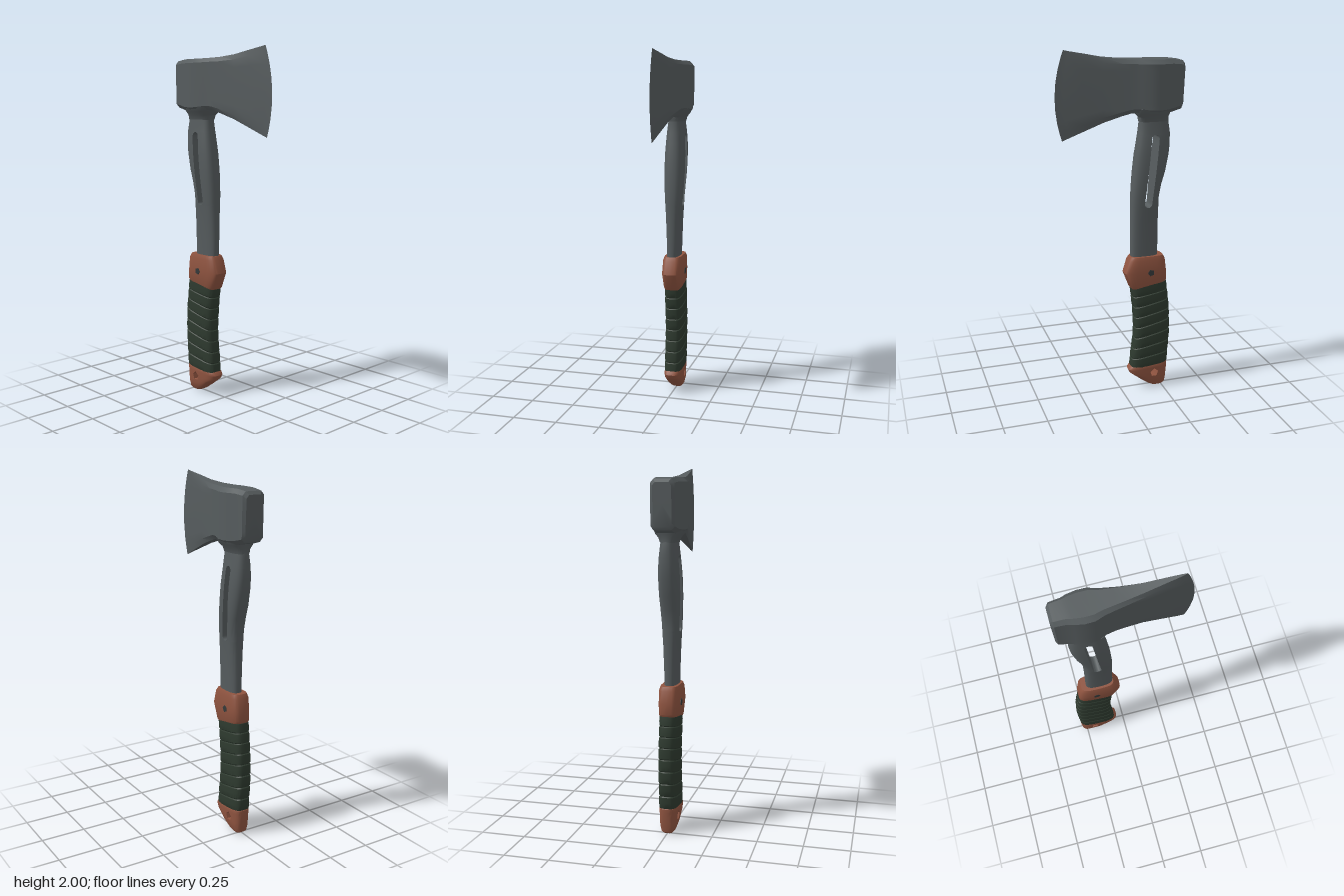
import * as THREE from 'three';
import { toCreasedNormals } from 'three/addons/utils/BufferGeometryUtils.js';

const material = (name, color) => Object.assign(new THREE.MeshStandardMaterial({ color }), { name });
const steel = material('steel', 0x565c5e);
const darkSteel = material('dark steel', 0x34393a);
const copper = material('copper brown', 0x8f5440);
const wrap = material('dark green wrap', 0x2e3a2f);

// Skins equal-length loops of [x, y, z] and closes both ends with fans.
function addSkin(loops, pos, idx) {
  const n = loops[0].length, base = pos.length / 3;
  loops.forEach(l => l.forEach(p => pos.push(...p)));
  const at = (i, j) => base + i * n + (j % n);
  for (let i = 0; i + 1 < loops.length; i++)
    for (let j = 0; j < n; j++)
      idx.push(at(i, j), at(i, j + 1), at(i + 1, j + 1), at(i, j), at(i + 1, j + 1), at(i + 1, j));
  for (const i of [0, loops.length - 1]) {
    const c = pos.length / 3;
    for (let k = 0; k < 3; k++) pos.push(loops[i].reduce((s, p) => s + p[k], 0) / n);
    for (let j = 0; j < n; j++)
      idx.push(c, i ? at(i, j) : at(i, j + 1), i ? at(i, j + 1) : at(i, j));
  }
}

function skinMesh(name, mat, loopSets, crease = 0.6) {
  const pos = [], idx = [];
  loopSets.forEach(loops => addSkin(loops, pos, idx));
  const g = new THREE.BufferGeometry();
  g.setAttribute('position', new THREE.Float32BufferAttribute(pos, 3));
  g.setIndex(idx);
  const mesh = new THREE.Mesh(toCreasedNormals(g, crease), mat);
  mesh.name = name;
  return mesh;
}

// Linear lookup in rows keyed by their first value.
function rowAt(rows, y) {
  let i = 0;
  while (i < rows.length - 2 && y > rows[i + 1][0]) i++;
  const a = rows[i], b = rows[i + 1];
  const t = THREE.MathUtils.clamp((y - a[0]) / (b[0] - a[0]), 0, 1);
  return a.map((v, k) => v + (b[k] - v) * t);
}

// z range of a convex hole [[z, y], ...] at height y.
function holeSpan(hole, y) {
  const ys = hole.map(p => p[1]), lo = Math.min(...ys), hi = Math.max(...ys);
  const yc = THREE.MathUtils.clamp(y, lo, hi), zs = [];
  hole.forEach((a, i) => {
    const b = hole[(i + 1) % hole.length];
    if (a[1] !== b[1] && yc >= Math.min(a[1], b[1]) && yc <= Math.max(a[1], b[1]))
      zs.push(a[0] + (b[0] - a[0]) * (yc - a[1]) / (b[1] - a[1]));
  });
  const z0 = Math.min(...zs), z1 = Math.max(...zs);
  return y < lo || y > hi ? [(z0 + z1) / 2, (z0 + z1) / 2] : [z0, z1];
}

// Upright loft of rounded sections; rows are [yFront, yBack, zFront, zBack, halfWidth].
// It is made of a front and a back half, which part around an optional hole.
function shaft(name, mat, rows, n, hole) {
  let ys = rows.map(r => r[0]);
  if (hole) {
    const hy = hole.map(p => p[1]);
    ys = ys.concat(hy, Math.min(...hy) - 1e-4, Math.max(...hy) + 1e-4);
  }
  ys = ys.sort((a, b) => a - b).filter((y, i) => !i || y - ys[i - 1] > 1e-6);
  const front = [], back = [], steps = 14;
  for (const y of ys) {
    const [yf, yb, zf, zb, w] = rowAt(rows, y);
    const mid = (zf + zb) / 2, half = (zf - zb) / 2;
    const angle = z => {
      const u = THREE.MathUtils.clamp((z - mid) / half, -0.95, 0.95);
      return Math.acos(Math.sign(u) * Math.abs(u) ** (n / 2));
    };
    const point = a => {
      const c = Math.cos(a), s = Math.sin(a);
      const u = Math.sign(c) * Math.abs(c) ** (2 / n);
      return [w * Math.sign(s) * Math.abs(s) ** (2 / n), yb + (yf - yb) * (u + 1) / 2, mid + half * u];
    };
    const arc = (a, b) => Array.from({ length: steps + 1 }, (_, i) => point(a + (b - a) * i / steps));
    const [s0, s1] = hole ? holeSpan(hole, y) : [mid, mid];
    const a1 = angle(s1), a0 = angle(s0);
    front.push(arc(-a1, a1));
    back.push(arc(a0, 2 * Math.PI - a0));
  }
  return skinMesh(name, mat, [front, back]);
}

function pentagon(z, y, r) {
  return [0, 1, 2, 3, 4].map(i => {
    const a = Math.PI / 2 + i * Math.PI * 0.4;
    return [z + r * Math.cos(a), y + r * Math.sin(a)];
  });
}

// Axe head: chamfered sections from poll to curved cutting edge.
// Rows are [zTop, zBottom, yTop, yBottom, halfWidth, bulge].
function axeHead() {
  const rows = [
    [-0.355, -0.345, 1.915, 1.69, 0.05, 0], [-0.34, -0.335, 1.932, 1.672, 0.065, 0],
    [-0.28, -0.275, 1.94, 1.656, 0.07, 0], [-0.25, -0.25, 1.941, 1.652, 0.08, 0],
    [-0.2, -0.2, 1.941, 1.65, 0.089, 0], [-0.15, -0.15, 1.942, 1.652, 0.088, 0],
    [-0.1, -0.1, 1.943, 1.66, 0.071, 0], [-0.05, -0.05, 1.945, 1.658, 0.061, 0],
    [0, 0, 1.947, 1.645, 0.052, 0], [0.1, 0.1, 1.958, 1.613, 0.035, 0.01],
    [0.2, 0.2, 1.978, 1.572, 0.02, 0.02], [0.28, 0.285, 1.993, 1.537, 0.008, 0.032],
    [0.31, 0.325, 2, 1.52, 0, 0.043],
  ];
  const side = [0, 0.08, 0.2, 0.35, 0.5, 0.65, 0.8, 0.92, 1];
  return skinMesh('axeHead', steel, [rows.map(([zt, zb, yt, yb, w, bulge]) => {
    const right = side.map(f => [
      w * (f === 0 || f === 1 ? 0.72 : 1),
      yb + (yt - yb) * f,
      zb + (zt - zb) * f + bulge * (1 - (2 * f - 1) ** 2),
    ]);
    return [...right, ...right.map(([x, y, z]) => [-x, y, z]).reverse()];
  })], 0.5);
}

export function createModel() {
  const axe = new THREE.Group();
  axe.name = 'axe';
  axe.add(axeHead());

  // Flared neck under the head
  axe.add(shaft('headNeck', steel, [
    [1.605, 1.605, -0.108, -0.275, 0.045], [1.63, 1.63, -0.104, -0.274, 0.054],
    [1.65, 1.65, -0.085, -0.28, 0.072], [1.68, 1.68, -0.075, -0.285, 0.086],
  ], 3));

  // Handle with a slot through it
  const slot = [];
  for (let i = 0; i <= 8; i++) slot.push([-0.19 + 0.022 * Math.cos(i * Math.PI / 8), 1.513 + 0.022 * Math.sin(i * Math.PI / 8)]);
  for (let i = 8; i <= 16; i++) slot.push([-0.153 + 0.022 * Math.cos(i * Math.PI / 8), 1.143 + 0.022 * Math.sin(i * Math.PI / 8)]);
  const handle = [
    [0.78, -0.063, -0.222, 0.035], [0.9, -0.063, -0.222, 0.037], [1.05, -0.063, -0.222, 0.043],
    [1.18, -0.063, -0.225, 0.051], [1.25, -0.067, -0.238, 0.055], [1.32, -0.072, -0.259, 0.058],
    [1.42, -0.083, -0.279, 0.058], [1.48, -0.093, -0.285, 0.055], [1.54, -0.102, -0.285, 0.05],
    [1.6, -0.109, -0.276, 0.043], [1.65, -0.11, -0.27, 0.042],
  ];
  axe.add(shaft('handle', steel, handle.map(([y, ...r]) => [y, y, ...r]), 2.8, slot));

  // Collar between handle and grip, with a rivet through it
  axe.add(shaft('collar', copper, [
    [0.63, 0.668, -0.07, -0.268, 0.047], [0.645, 0.682, -0.057, -0.275, 0.054],
    [0.735, 0.74, -0.022, -0.272, 0.057], [0.81, 0.81, -0.045, -0.263, 0.056],
    [0.832, 0.832, -0.06, -0.25, 0.049],
  ], 4));
  const rivet = new THREE.Mesh(new THREE.CylinderGeometry(0.02, 0.02, 0.118, 5), darkSteel);
  rivet.name = 'collarRivet';
  rivet.rotation.z = Math.PI / 2;
  rivet.position.set(0, 0.735, -0.17);
  axe.add(rivet);

  // Grip wound in slanted bands with shallow grooves
  const edge = [
    [0.1, -0.06, -0.284], [0.22, -0.07, -0.291], [0.32, -0.082, -0.299], [0.4, -0.086, -0.299],
    [0.5, -0.08, -0.295], [0.58, -0.071, -0.287], [0.7, -0.058, -0.27],
  ];
  const bands = 8, grip = [];
  for (let k = 0; k < bands; k++)
    for (const [f, inset] of [[0, 0.005], [0.1, 0], [0.5, -0.001], [0.93, 0]]) {
      const t = (k + f) / bands, yf = 0.125 + 0.525 * t;
      const yb = yf + 0.025 + 0.022 * Math.sin(Math.PI * t);
      grip.push([yf, yb, rowAt(edge, yf)[1] - inset, rowAt(edge, yb)[2] + inset, 0.051 - inset]);
    }
  axe.add(shaft('grip', wrap, grip, 3.6));

  // Pommel with a lanyard hole
  axe.add(shaft('pommel', copper, [
    [0.003, 0.003, -0.195, -0.258, 0.026], [0.015, 0.015, -0.172, -0.274, 0.036],
    [0.05, 0.05, -0.122, -0.28, 0.046], [0.1, 0.1, -0.057, -0.285, 0.05],
    [0.122, 0.13, -0.047, -0.287, 0.051], [0.137, 0.15, -0.056, -0.287, 0.051],
    [0.145, 0.16, -0.066, -0.28, 0.046],
  ], 3.4, pentagon(-0.2, 0.093, 0.025)));

  return axe;
}
